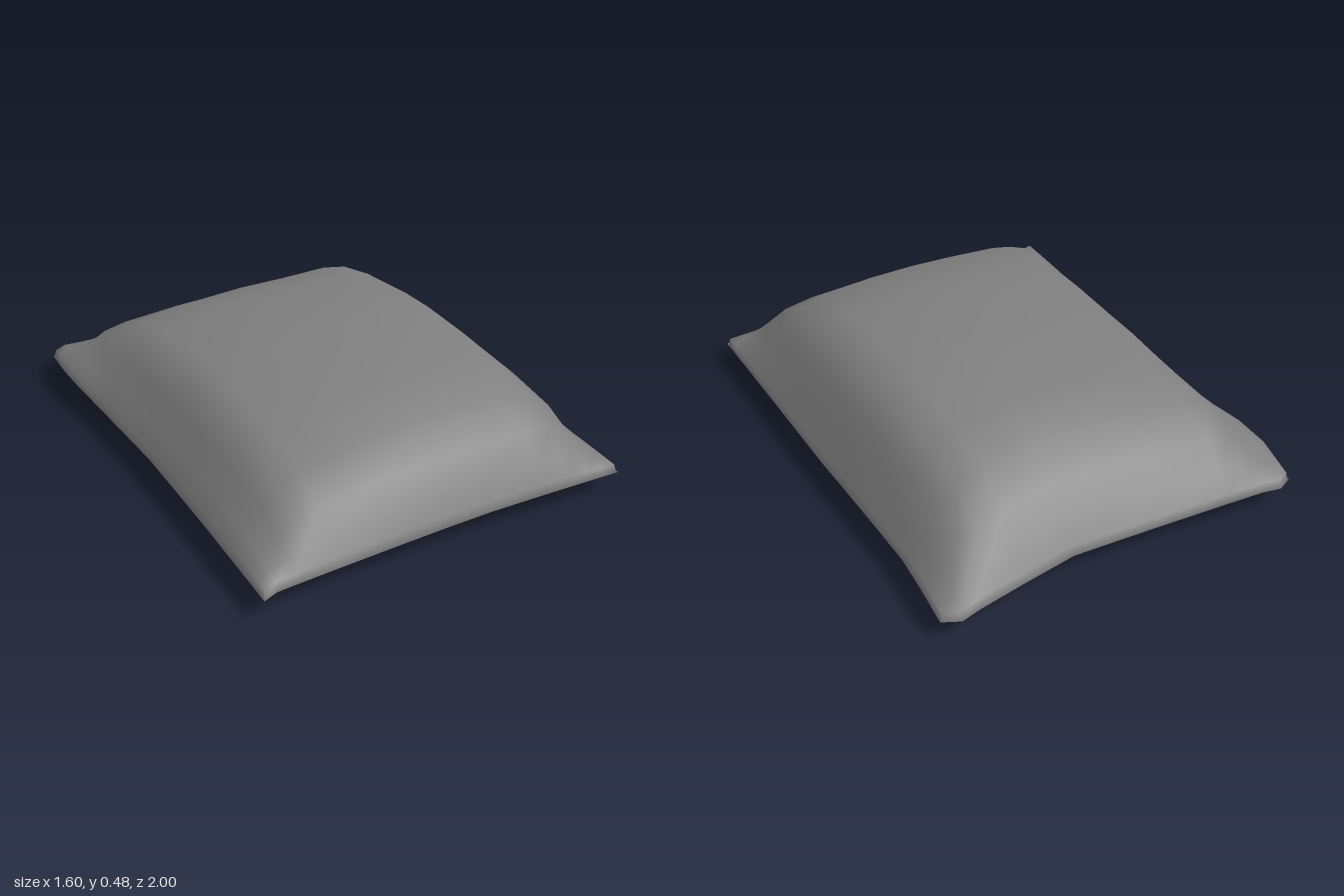
import * as THREE from 'three';
import { mergeGeometries, mergeVertices } from 'three/addons/utils/BufferGeometryUtils.js';

// Plump profiles: [position from edge to edge, share of full height]
const acrossX = [[-1, 0], [-0.985, 0.02], [-0.92, 0.2], [-0.82, 0.47], [-0.74, 0.69], [-0.62, 0.81],
  [-0.3, 0.93], [0, 0.99], [0.25, 1], [0.55, 0.96], [0.7, 0.86], [0.82, 0.6], [0.91, 0.23], [0.985, 0.02], [1, 0]];
const acrossZ = [[-1, 0], [-0.985, 0.02], [-0.91, 0.21], [-0.81, 0.51], [-0.65, 0.77], [-0.46, 0.9],
  [-0.16, 0.99], [0, 1], [0.25, 0.98], [0.49, 0.92], [0.72, 0.78], [0.86, 0.51], [0.935, 0.21], [0.985, 0.02], [1, 0]];

// Seam outline: [position along the edge, offset of the edge]
const leftEdge = [[-1, 0.775], [-0.68, 0.75], [-0.3, 0.765], [0, 0.78], [0.5, 0.79], [1, 0.8]];
const rightEdge = [[-1, -0.775], [-0.74, -0.805], [-0.5, -0.775], [0, -0.755], [0.5, -0.76], [1, -0.77]];
const backEdge = [[-1, -0.97], [-0.92, -1], [-0.82, -0.985], [0.27, -0.92], [0.85, -0.985], [0.92, -1], [1, -0.96]];
const frontEdge = [[-1, 1], [-0.92, 0.98], [0.2, 0.97], [1, 0.99]];

// Straight interpolation in a table of pairs
function lookUp(table, t) {
  const k = Math.max(1, table.findIndex(p => p[0] >= t));
  const [a, b] = [table[k - 1], table[k]];
  return THREE.MathUtils.mapLinear(t, a[0], b[0], a[1], b[1]);
}

// Seam height: drooping corners, with a lift near the back of the right edge
function seamHeight(s, t) {
  const lift = Math.max(0, 1 - Math.abs(t + 0.74) / 0.26) * Math.max(0, -s - 0.8) / 0.2;
  return 0.105 - 0.01 * s * s - 0.01 * t * t + 0.03 * lift;
}

// One side of the cushion, as a grid bent to the profiles
function sheet(top) {
  const n = acrossX.length - 1;
  const geometry = new THREE.PlaneGeometry(2, 2, n, n).rotateX(top ? -Math.PI / 2 : Math.PI / 2);
  const p = geometry.attributes.position;
  for (let i = 0; i < p.count; i++) {
    const [s, fx] = acrossX[Math.round((p.getX(i) + 1) / 2 * n)];
    const [t, fz] = acrossZ[Math.round((p.getZ(i) + 1) / 2 * n)];
    const x = THREE.MathUtils.lerp(lookUp(rightEdge, t), lookUp(leftEdge, t), (s + 1) / 2);
    const z = THREE.MathUtils.lerp(lookUp(backEdge, s), lookUp(frontEdge, s), (t + 1) / 2);
    const seam = seamHeight(s, t);
    let y;
    if (top) {
      // A low upright rim, then the plump body
      const rim = Math.max(Math.abs(s), Math.abs(t)) < 1 ? 0.03 : 0;
      y = seam + rim + 0.35 * fx * fz;
    } else {
      const gx = Math.min(1, (1 - Math.abs(s)) / 0.19);
      const gz = Math.min(1, (1 - Math.abs(t)) / 0.26);
      const sag = 0.8 + 0.2 * (1 - s * s) * (1 - t * t);
      y = seam * (1 - gx * gz * sag);
    }
    p.setXYZ(i, x, y, z);
  }
  geometry.deleteAttribute('normal');
  geometry.deleteAttribute('uv');
  return geometry;
}

export function createModel() {
  const group = new THREE.Group();
  group.name = 'cushion';

  // Both sides are welded along the seam for smooth shading
  const geometry = mergeVertices(mergeGeometries([sheet(true), sheet(false)]), 1e-4);
  geometry.computeVertexNormals();
  const body = new THREE.Mesh(geometry, new THREE.MeshStandardMaterial({ color: 0x7f7f7f }));
  body.name = 'cushionBody';
  group.add(body);
  return group;
}
